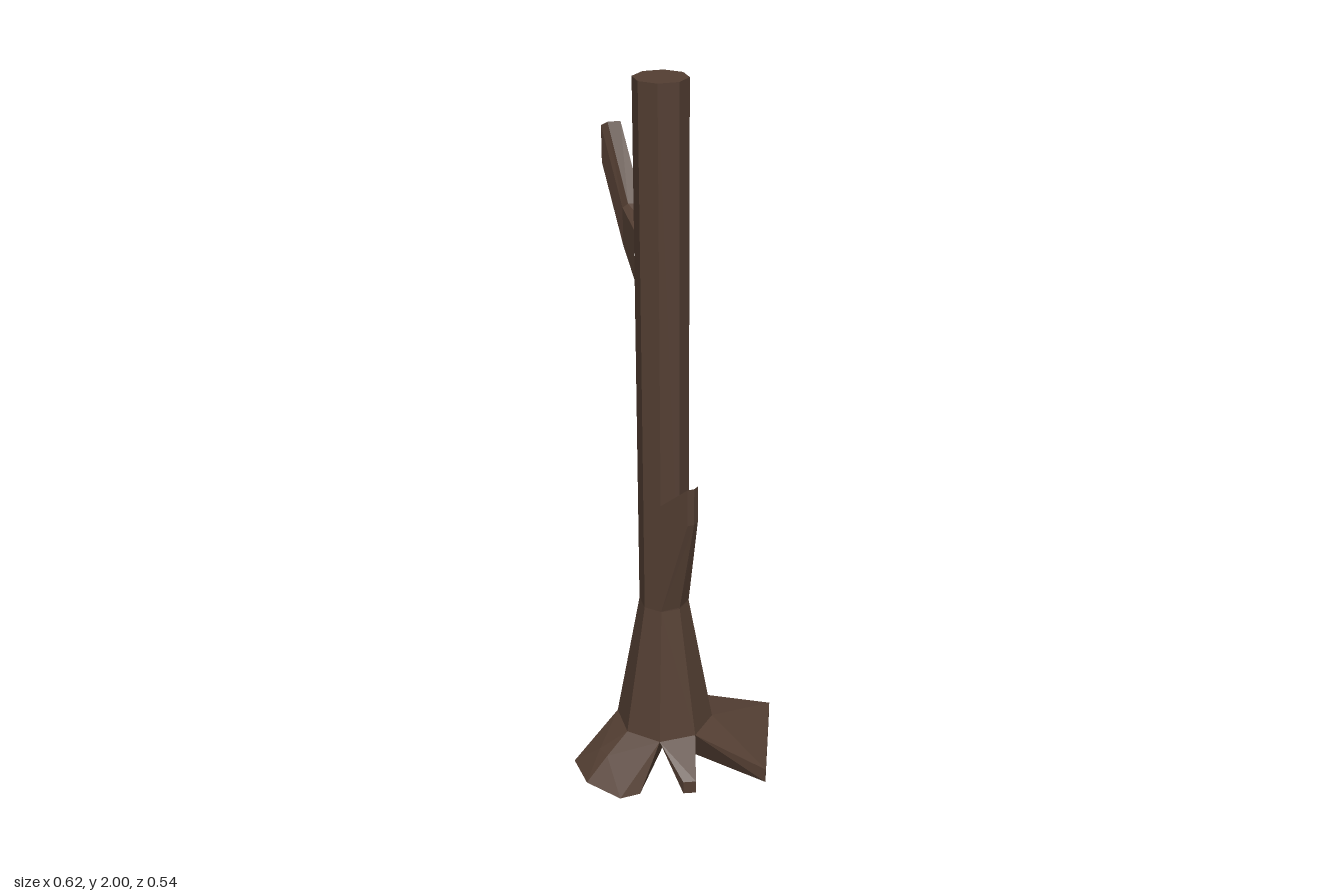
import * as THREE from 'three';
import { ConvexGeometry } from 'three/addons/geometries/ConvexGeometry.js';

const CX = -0.02, CZ = -0.057; // trunk axis
const FLARE_Y = 0.12, FLARE_R = 0.14;

function faceted(geometry) {
  const g = geometry.index ? geometry.toNonIndexed() : geometry;
  g.computeVertexNormals();
  return g;
}

// Loft of V-shaped sections growing towards +z.
// Section: [half width, z at sides, z at centre, bottom y, top y]
function limbGeometry(sections) {
  const positions = [], index = [];
  for (const [w, zs, zc, y0, y1] of sections) {
    positions.push(-w, y0, zs, 0, y0, zc, w, y0, zs, w, y1, zs, 0, y1, zc, -w, y1, zs);
  }
  for (let s = 0; s < sections.length - 1; s++) {
    for (let i = 0; i < 6; i++) {
      const a = s * 6 + i, b = s * 6 + (i + 1) % 6;
      index.push(a, b, b + 6, a, b + 6, a + 6);
    }
  }
  const e = (sections.length - 1) * 6;
  for (const [a, b, c, d] of [[0, 1, 4, 5], [1, 2, 3, 4]]) {
    index.push(e + a, e + b, e + c, e + a, e + c, e + d);
  }
  const g = new THREE.BufferGeometry();
  g.setAttribute('position', new THREE.Float32BufferAttribute(positions, 3));
  g.setIndex(index);
  return faceted(g);
}

// Root wedge from a run of trunk corners (counted from +z towards +x) to its tip points
function rootGeometry(first, last, tip) {
  const points = [new THREE.Vector3(CX, 0.01, CZ)];
  for (let i = first; i <= last; i++) {
    const a = i * Math.PI / 4;
    points.push(new THREE.Vector3(CX + Math.sin(a) * FLARE_R, FLARE_Y, CZ + Math.cos(a) * FLARE_R));
  }
  for (const p of tip) points.push(new THREE.Vector3(...p));
  return faceted(new ConvexGeometry(points));
}

// Square-cut tip: each corner at top and bottom
const cutTip = (top, corners) => corners.flatMap(([x, z]) => [[x, top, z], [x, 0.01, z]]);

export function createModel() {
  const model = new THREE.Group();
  const bark = new THREE.MeshStandardMaterial({ color: 0x543f33 });
  bark.name = 'bark brown';

  const add = (name, geometry, x = 0, z = 0) => {
    const mesh = new THREE.Mesh(geometry, bark);
    mesh.name = name;
    mesh.position.set(x, 0, z);
    model.add(mesh);
    return mesh;
  };

  // Eight-sided trunk with a flared foot
  const profile = [[0, FLARE_Y], [FLARE_R, FLARE_Y], [0.07, 0.52], [0.07, 2], [0, 2]]
    .map(([r, y]) => new THREE.Vector2(r, y));
  add('trunk', faceted(new THREE.LatheGeometry(profile, 8)), CX, CZ);

  // Broken stub on the front, bent branch on the back
  add('frontStub', limbGeometry([
    [0.05, 0.049, 0.069, 0.52, 0.86],
    [0.018, 0.125, 0.131, 0.82, 0.93],
  ]), CX, CZ);
  add('backBranch', limbGeometry([
    [0.05, 0.049, 0.069, 1.48, 1.615],
    [0.031, 0.119, 0.136, 1.55, 1.65],
    [0.031, 0.202, 0.216, 1.75, 1.845],
  ]), CX, CZ).rotation.y = Math.PI;

  // Roots
  add('broadFrontLeftRoot', rootGeometry(0, 2, cutTip(0.055, [[0.31, 0.043], [0.088, 0.27]])));
  add('thinBackLeftRoot', rootGeometry(2, 3, cutTip(0.05, [[0.207, -0.163], [0.214, -0.145]])));
  add('backRoot', rootGeometry(3, 5, [
    [-0.08, 0.01, -0.24], [-0.02, 0.01, -0.273], [0.04, 0.01, -0.24], [-0.02, 0.06, -0.243],
  ]));
  add('roundedRightRoot', rootGeometry(5, 7, [
    [-0.215, 0, 0.07], [-0.275, 0.005, 0.055], [-0.31, 0.01, -0.057],
    [-0.275, 0.005, -0.165], [-0.215, 0, -0.185],
    [-0.235, 0.068, -0.057], [-0.228, 0.066, -0.1],
  ]));
  add('thinFrontRightRoot', rootGeometry(7, 8, cutTip(0.05, [[-0.126, 0.157], [-0.096, 0.177]])));

  return model;
}
